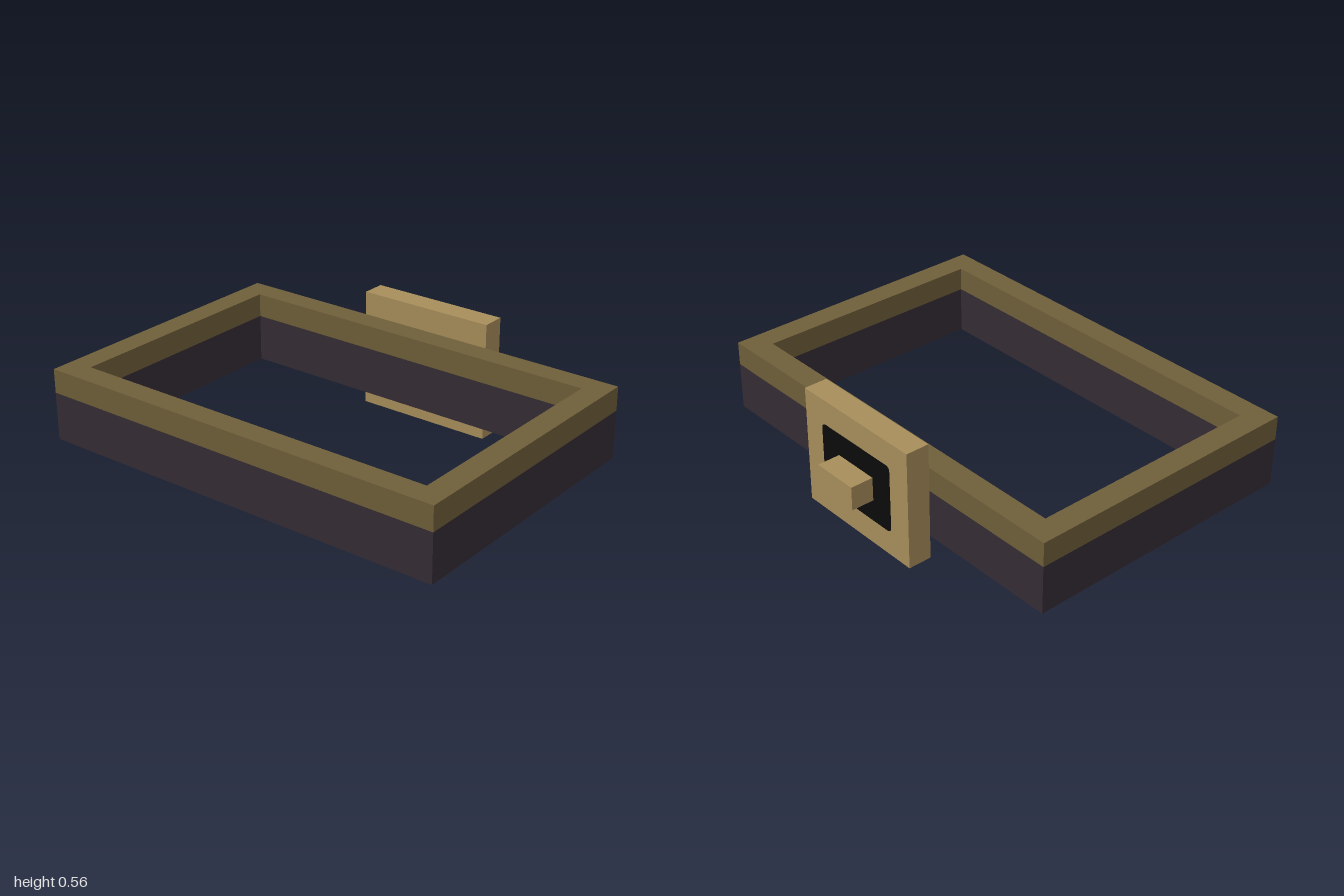
import * as THREE from 'three';

const U = 1 / 9; // base module: wall thickness of the belt

const material = (name, color) => {
  const m = new THREE.MeshStandardMaterial({ color });
  m.name = name;
  return m;
};

const rect = (P, w, d) => new P([
  new THREE.Vector2(-w / 2, -d / 2), new THREE.Vector2(w / 2, -d / 2),
  new THREE.Vector2(w / 2, d / 2), new THREE.Vector2(-w / 2, d / 2),
]);

export function createModel() {
  const leather = material('dark leather', 0x352c35);
  const trim = material('dull brass trim', 0x6f5f3a);
  const gold = material('pale brass', 0xa88e5b);
  const black = material('black inlay', 0x0b0b0b);

  const model = new THREE.Group();
  model.name = 'belt';
  const add = (name, geometry, mat, x, y, z) => {
    const mesh = new THREE.Mesh(geometry, mat);
    mesh.name = name;
    mesh.position.set(x, y, z);
    model.add(mesh);
    return mesh;
  };

  // Rectangular loop standing on height y
  const loop = (name, mat, y, height) => {
    const shape = rect(THREE.Shape, 18 * U, 12 * U);
    shape.holes.push(rect(THREE.Path, 16 * U, 10 * U));
    const g = new THREE.ExtrudeGeometry(shape, { depth: height, bevelEnabled: false });
    g.rotateX(-Math.PI / 2);
    add(name, g, mat, 0, y, U);
  };
  loop('beltBand', leather, U, 2 * U);
  loop('beltTrim', trim, 3 * U, U);

  // Buckle plate and its stud on the back
  add('bucklePlate', new THREE.BoxGeometry(6 * U, 5 * U, U), gold, 0, 2.5 * U, -5.5 * U);
  add('buckleStud', new THREE.BoxGeometry(2 * U, U, U), gold, 0, 2.5 * U, -6.5 * U);

  // Thin inlay with slightly rounded corners
  const w = 0.22, h = 0.16, r = 0.02;
  const inlay = new THREE.Shape();
  [[w - r, h - r], [r - w, h - r], [r - w, r - h], [w - r, r - h]].forEach(([x, y], i) =>
    inlay.absarc(x, y, r, i * Math.PI / 2, (i + 1) * Math.PI / 2));
  const inlayGeometry = new THREE.ExtrudeGeometry(inlay, { depth: 0.004, bevelEnabled: false, curveSegments: 4 });
  add('buckleInlay', inlayGeometry, black, 0, 2.5 * U, -6 * U - 0.003);

  return model;
}
